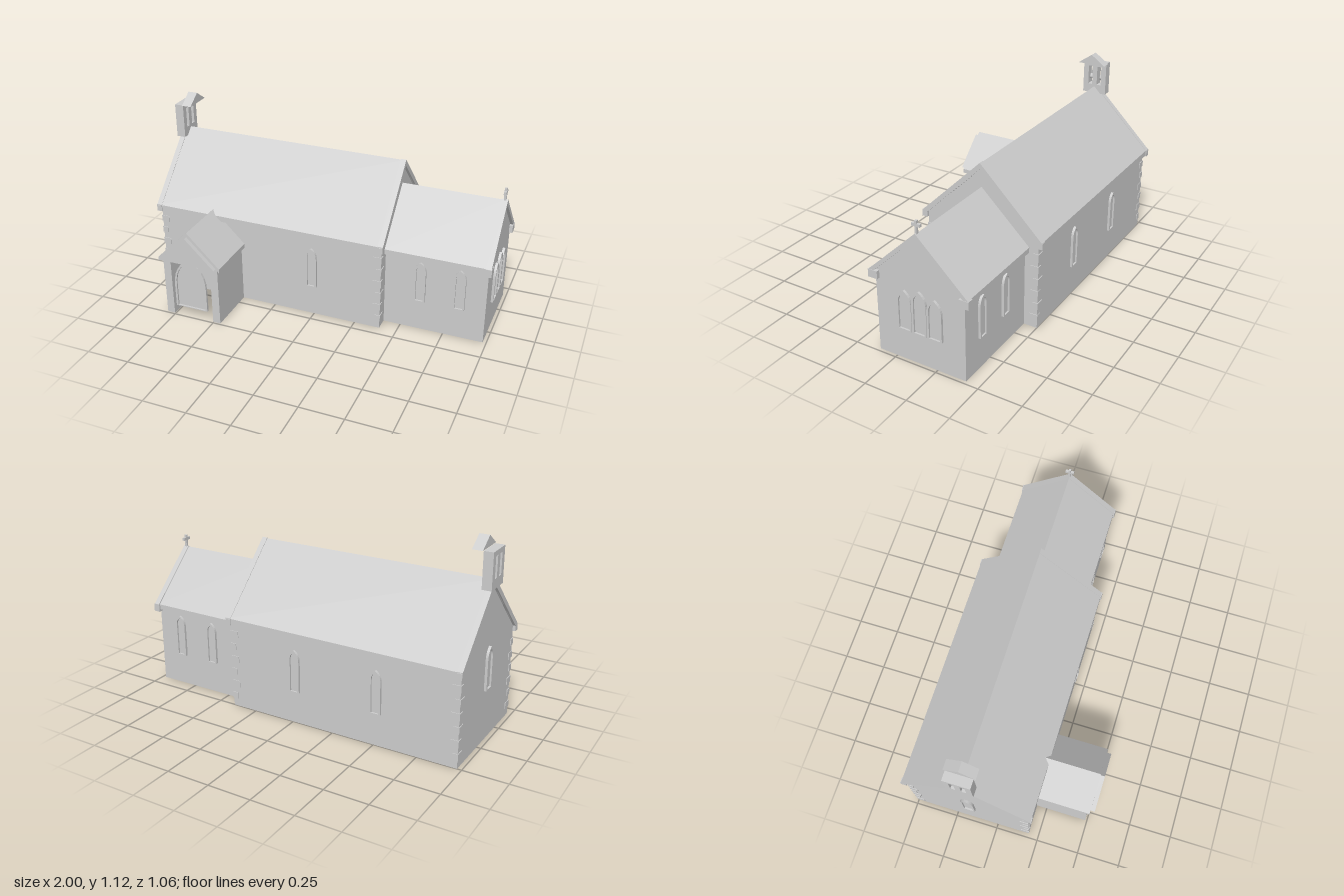
import * as THREE from 'three';

const stone = new THREE.MeshStandardMaterial({ color: 0xcccccc });
stone.name = 'pale stone';
const AXIS = -0.155; // z of the ridge line

export function createModel() {
  const model = new THREE.Group();
  model.name = 'church';

  const add = (name, geo, parent = model) => {
    const mesh = new THREE.Mesh(geo, stone);
    mesh.name = name;
    parent.add(mesh);
    return mesh;
  };
  const box = (name, x0, x1, y0, y1, z0, z1, parent) => add(name,
    new THREE.BoxGeometry(x1 - x0, y1 - y0, z1 - z0)
      .translate((x0 + x1) / 2, (y0 + y1) / 2, (z0 + z1) / 2), parent);
  const polygon = (pts) => new THREE.Shape(pts.map(([x, y]) => new THREE.Vector2(x, y)));
  const extrude = (shape, depth) => new THREE.ExtrudeGeometry(shape, { depth, bevelEnabled: false, curveSegments: 6 });
  // profile drawn across the church, swept along x
  const alongX = (name, shape, x0, x1) =>
    add(name, extrude(shape, x1 - x0).rotateY(Math.PI / 2).translate(x0, 0, AXIS));

  const house = (half, eave, apex) => polygon([[-half, 0], [half, 0], [half, eave], [0, apex], [-half, eave]]);
  const chevron = (half, eave, apex, t) => polygon([
    [-half, eave], [-half, eave - t], [0, apex - t], [half, eave - t], [half, eave], [0, apex]]);

  // Pointed arch outline standing on y = 0
  const trace = (path, w, h, y0) => {
    const a = w / 2, spring = h - w * 0.9;
    path.moveTo(-a, y0);
    path.lineTo(a, y0);
    path.lineTo(a, spring);
    path.quadraticCurveTo(a, h - w * 0.28, 0, h);
    path.quadraticCurveTo(-a, h - w * 0.28, -a, spring);
    path.closePath();
    return path;
  };
  // Lancet with raised frame and inset pane, facing +z then turned
  const lancet = (name, w, h, rim, x, y, z, turn = 0) => {
    const g = new THREE.Group();
    g.name = name;
    const frame = trace(new THREE.Shape(), w, h, 0);
    frame.holes.push(trace(new THREE.Path(), w - 2 * rim, h - rim * 1.3, rim * 0.4));
    add('frame', extrude(frame, 0.014), g);
    add('pane', extrude(trace(new THREE.Shape(), w - rim, h - rim * 0.6, rim * 0.2), 0.004), g);
    g.position.set(x, y, z);
    g.rotation.y = turn;
    model.add(g);
  };

  // Nave
  alongX('naveWalls', house(0.345, 0.53, 0.875), -0.975, 0.4);
  alongX('naveRoof', chevron(0.37, 0.537, 0.902, 0.034), -0.98, 0.405);
  box('naveCornice', -0.97, 0.4, 0.5, 0.53, AXIS - 0.36, AXIS + 0.36);
  for (const x of [-0.99, 0.385]) {
    alongX('naveCoping', chevron(0.375, 0.535, 0.906, 0.036), x, x + 0.031);
    for (const s of [-1, 1])
      box('naveKneeler', x, x + 0.031, 0.5, 0.54, AXIS + s * 0.358 - 0.016, AXIS + s * 0.358 + 0.016);
  }

  // Chancel
  alongX('chancelWalls', house(0.265, 0.48, 0.737), 0.39, 0.98);
  alongX('chancelRoof', chevron(0.29, 0.484, 0.763, 0.03), 0.4, 0.98);
  box('chancelCornice', 0.4, 0.975, 0.45, 0.478, AXIS - 0.28, AXIS + 0.28);
  alongX('chancelCoping', chevron(0.295, 0.485, 0.768, 0.031), 0.965, 0.997);
  for (const s of [-1, 1])
    box('chancelKneeler', 0.962, 1, 0.44, 0.485, AXIS + s * 0.27 - 0.028, AXIS + s * 0.27 + 0.028);

  // Gable cross
  box('crossPost', 0.974, 0.988, 0.755, 0.834, AXIS - 0.006, AXIS + 0.006);
  box('crossArm', 0.974, 0.988, 0.802, 0.818, AXIS - 0.025, AXIS + 0.025);

  // Quoins, alternating long and short on the nave corners
  for (const [cx, sx] of [[-0.975, 1], [0.4, -1]])
    for (const sz of [-1, 1])
      for (let i = 0; i < 6; i++) {
        const y = 0.045 + i * 0.075;
        const lx = i % 2 ? 0.045 : 0.028, lz = i % 2 ? 0.028 : 0.045;
        const x0 = cx - sx * 0.004, x1 = cx + sx * lx;
        const z0 = AXIS + sz * 0.349, z1 = AXIS + sz * (0.345 - lz);
        box('quoin', Math.min(x0, x1), Math.max(x0, x1), y, y + 0.038, Math.min(z0, z1), Math.max(z0, z1));
      }

  // Side windows
  lancet('naveWindow', 0.066, 0.245, 0.011, -0.015, 0.187, AXIS + 0.345);
  for (const x of [-0.015, -0.51]) lancet('naveWindow', 0.066, 0.245, 0.011, x, 0.187, AXIS - 0.345, Math.PI);
  for (const x of [0.605, 0.83]) {
    lancet('chancelWindow', 0.066, 0.245, 0.011, x, 0.187, AXIS + 0.265);
    lancet('chancelWindow', 0.066, 0.245, 0.011, x, 0.187, AXIS - 0.265, Math.PI);
  }
  // End windows
  lancet('westWindow', 0.075, 0.24, 0.012, -0.975, 0.3, AXIS, -Math.PI / 2);
  for (const i of [-1, 0, 1])
    lancet('eastWindow', 0.088, i ? 0.232 : 0.252, 0.012, 0.98, 0.187, AXIS + i * 0.091, Math.PI / 2);

  // Porch
  const px = -0.63;
  for (const s of [-1, 1])
    box('porchWall', px + s * 0.149 - 0.023, px + s * 0.149 + 0.023, 0, 0.39, 0.18, 0.49);
  add('porchRoof', extrude(chevron(0.193, 0.372, 0.562, 0.026), 0.36).translate(px, 0, 0.145));
  add('porchGable', extrude(polygon([[-0.172, 0.37], [0.172, 0.37], [0, 0.538]]), 0.05).translate(px, 0, 0.48));
  lancet('porchDoor', 0.2, 0.32, 0.012, px, 0.07, 0.49);

  // Bellcote with two openings
  const tower = polygon([[-0.075, 0.86], [0.075, 0.86], [0.075, 1.06], [-0.075, 1.06]]);
  for (const s of [-1, 1]) {
    const c = s * 0.029;
    tower.holes.push(new THREE.Path([[-1, 0.915], [-1, 1.033], [1, 1.033], [1, 0.915]]
      .map(([k, y]) => new THREE.Vector2(c + k * 0.0135, y))));
    const bell = add('bell', new THREE.LatheGeometry([[0, 0.03], [0.008, 0.026], [0.011, 0.012], [0.015, 0], [0, 0]]
      .map(([r, y]) => new THREE.Vector2(r, y)).reverse(), 12));
    bell.position.set(-0.972, 0.947, AXIS + s * 0.033);
    box('bellHanger', -0.974, -0.97, 0.975, 1.035, AXIS + s * 0.033 - 0.002, AXIS + s * 0.033 + 0.002);
  }
  alongX('bellcote', tower, -0.998, -0.945);
  alongX('bellcoteCap', polygon([[-0.086, 1.062], [0.086, 1.062], [0, 1.122]]), -0.945, -0.888);

  return model;
}
